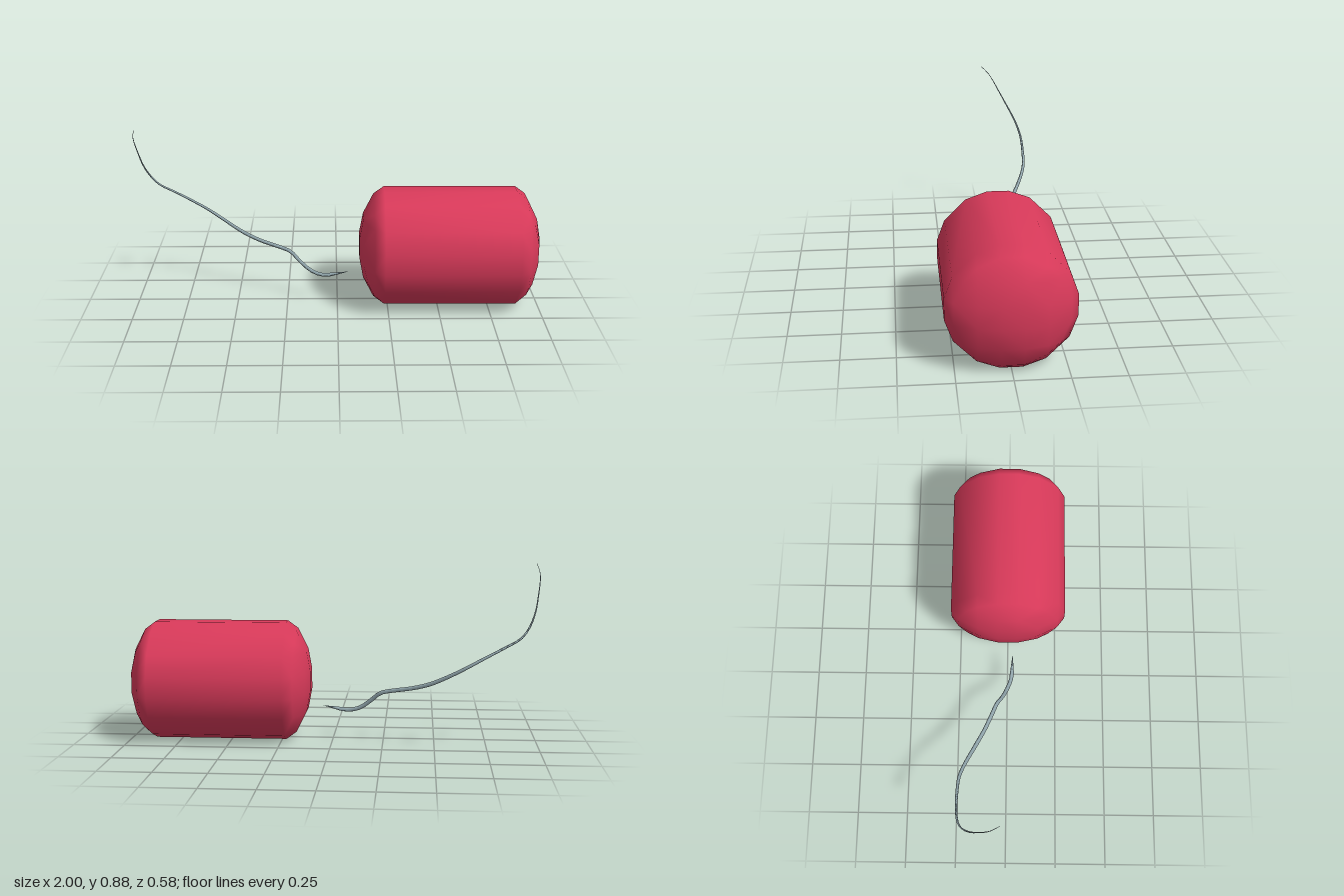
import * as THREE from 'three';
import { mergeVertices } from 'three/addons/utils/BufferGeometryUtils.js';
import { ConvexGeometry } from 'three/addons/geometries/ConvexGeometry.js';

const red = new THREE.MeshStandardMaterial({ color: 0xd93a5a });
red.name = 'red';
const steel = new THREE.MeshStandardMaterial({ color: 0x9db3ba });
steel.name = 'paleSteel';

// Faceted sphere cut in half and pulled apart along x, with flattened domes
function barrelGeometry() {
  const a = 0.051, b = 0.152, c = 0.254, d = 0.291, e = 0.208;
  const triples = [
    [a, a, d], [a, d, a], [d, a, a],
    [a, b, c], [a, c, b], [b, a, c], [b, c, a], [c, a, b], [c, b, a],
    [b, b, e], [b, e, b], [e, b, b],
  ];
  const points = [];
  for (const [u, v, w] of triples) {
    for (const sx of [-1, 1]) for (const sy of [-1, 1]) for (const sz of [-1, 1]) {
      const x = 0.555 + sx * (0.445 - (d - u) * 0.5);
      points.push(new THREE.Vector3(x, 0.293 + sy * v, sz * w));
    }
  }
  const hull = new ConvexGeometry(points);
  hull.deleteAttribute('normal');
  const geometry = mergeVertices(hull, 1e-4);
  geometry.computeVertexNormals();
  return geometry;
}

// Thin bent wire, tapering to a point at both ends
function wireGeometry() {
  const path = new THREE.CatmullRomCurve3([
    [0.055, 0.16, 0.025], [0, 0.15, 0.025], [-0.07, 0.14, 0.02], [-0.13, 0.155, 0],
    [-0.19, 0.2, -0.025], [-0.235, 0.24, -0.05], [-0.3, 0.258, -0.075],
    [-0.39, 0.277, -0.112], [-0.48, 0.307, -0.155], [-0.6, 0.37, -0.208],
    [-0.66, 0.405, -0.225], [-0.73, 0.445, -0.23], [-0.83, 0.5, -0.23],
    [-0.9, 0.54, -0.22], [-0.94, 0.59, -0.198], [-0.97, 0.66, -0.16],
    [-0.985, 0.73, -0.122], [-0.998, 0.83, -0.065], [-0.985, 0.88, -0.02],
  ].map((p) => new THREE.Vector3(...p)));
  const segments = 48, sides = 4;
  const geometry = new THREE.TubeGeometry(path, segments, 0.01, sides);
  const pos = geometry.attributes.position;
  const v = new THREE.Vector3();
  for (let i = 0; i <= segments; i++) {
    const t = i / segments;
    const centre = path.getPointAt(t);
    const scale = Math.min(1, t / 0.06) * (t < 0.4 ? 1 : 1 - 0.9 * (t - 0.4) / 0.6);
    for (let j = 0; j <= sides; j++) {
      const k = i * (sides + 1) + j;
      v.fromBufferAttribute(pos, k).sub(centre).multiplyScalar(scale).add(centre);
      pos.setXYZ(k, v.x, v.y, v.z);
    }
  }
  return geometry;
}

export function createModel() {
  const model = new THREE.Group();
  const barrel = new THREE.Mesh(barrelGeometry(), red);
  barrel.name = 'barrel';
  const wire = new THREE.Mesh(wireGeometry(), steel);
  wire.name = 'wire';
  model.add(barrel, wire);
  return model;
}
